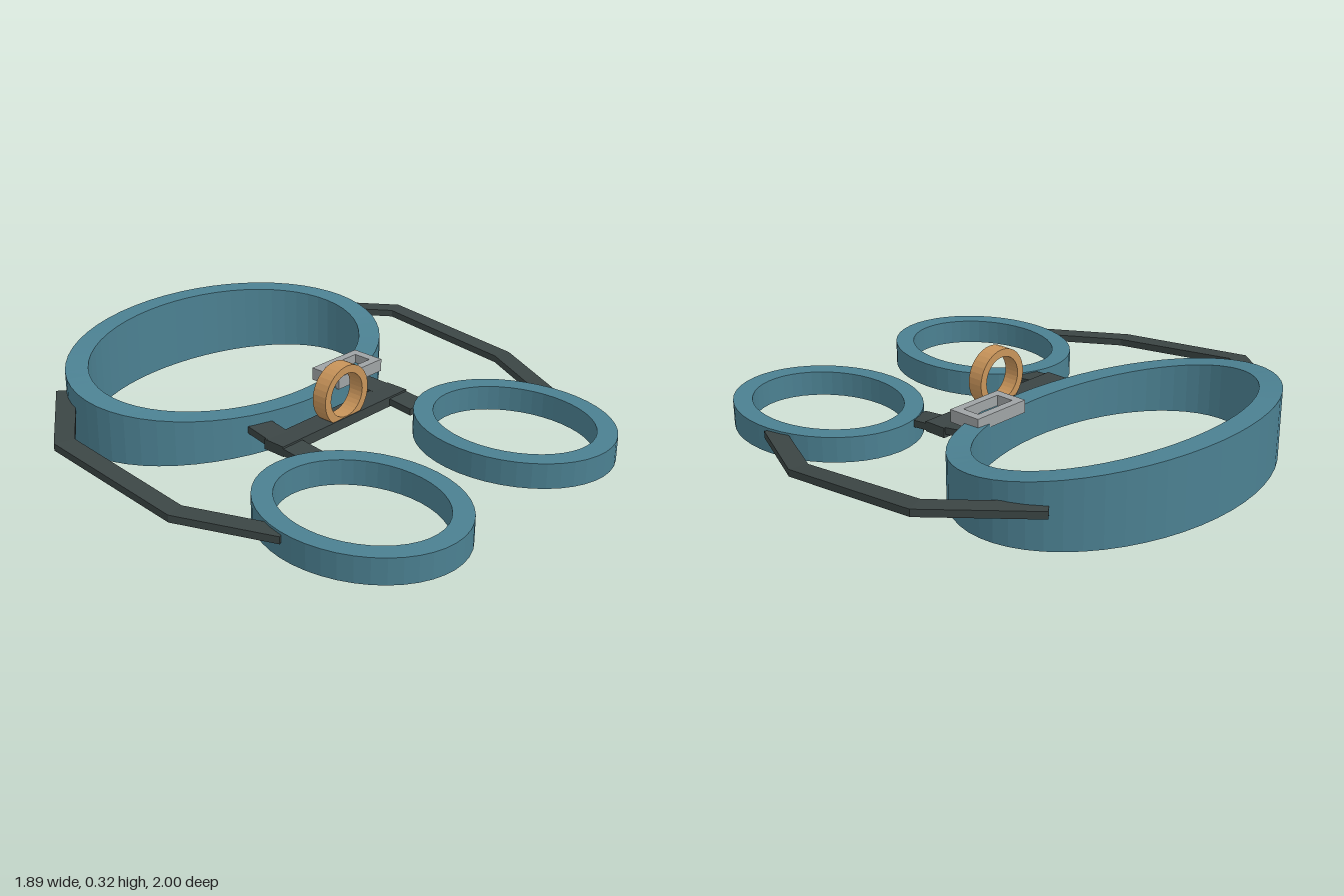
import * as THREE from 'three';

const material = (name, color) => Object.assign(
  new THREE.MeshStandardMaterial({ color, flatShading: true }), { name });

// Skin four-cornered sections (inner bottom, outer bottom, outer top, inner top) into a solid
function loft(sections, closed) {
  const pos = [];
  const n = sections.length;
  const tri = (...corners) => corners.forEach((c) => pos.push(...c));
  for (let i = 0; i < (closed ? n : n - 1); i++) {
    const a = sections[i], b = sections[(i + 1) % n];
    for (let k = 0; k < 4; k++) {
      const j = (k + 1) % 4;
      tri(a[k], b[k], b[j]);
      tri(a[k], b[j], a[j]);
    }
  }
  if (!closed) {
    const s = sections[0], e = sections[n - 1];
    tri(s[0], s[1], s[2]); tri(s[0], s[2], s[3]);
    tri(e[0], e[2], e[1]); tri(e[0], e[3], e[2]);
  }
  const geo = new THREE.BufferGeometry();
  geo.setAttribute('position', new THREE.Float32BufferAttribute(pos, 3));
  geo.computeVertexNormals();
  return geo;
}

// Upright oval band; top(c) gives the rim height, c = 1 at the front and -1 at the back
function band(rx, rz, innerX, innerZ, top, segments) {
  const sections = [];
  for (let i = 0; i < segments; i++) {
    const a = (i / segments) * Math.PI * 2;
    const s = Math.sin(a), c = Math.cos(a), h = top(c);
    sections.push([
      [innerX * s, 0, innerZ * c], [rx * s, 0, rz * c],
      [rx * s, h, rz * c], [innerX * s, h, innerZ * c],
    ]);
  }
  return loft(sections, true);
}

// Flat webbing along a polyline with mitred bends
function strap(path, width, thick) {
  const p = path.map((q) => new THREE.Vector3(...q));
  const side = (a, b) => new THREE.Vector3(-(b.z - a.z), 0, b.x - a.x).normalize();
  const sections = p.map((q, i) => {
    const before = side(p[Math.max(i - 1, 0)], p[Math.max(i, 1)]);
    const after = side(p[Math.min(i, p.length - 2)], p[Math.min(i + 1, p.length - 1)]);
    const m = before.clone().add(after).normalize();
    m.multiplyScalar(width / 2 / m.dot(before));
    return [[-1, -1], [1, -1], [1, 1], [-1, 1]].map(([u, v]) =>
      [q.x + m.x * u, q.y + v * thick / 2, q.z + m.z * u]);
  });
  return loft(sections, false);
}

export function createModel() {
  const group = new THREE.Group();
  const teal = material('teal padding', 0x4b8091);
  const dark = material('dark webbing', 0x3b4544);
  const gold = material('orange ring', 0xc8945a);
  const grey = material('grey metal', 0x9fa3a5);
  const add = (name, geo, mat, x = 0, y = 0, z = 0) => {
    const mesh = new THREE.Mesh(geo, mat);
    mesh.name = name;
    mesh.position.set(x, y, z);
    group.add(mesh);
    return mesh;
  };

  // Waist belt, taller at the back
  add('waistBelt', band(0.725, 0.495, 0.635, 0.41, (c) => 0.22 - 0.065 * c, 56), teal, 0, 0, -0.505);

  for (const [name, s] of [['left', 1], ['right', -1]]) {
    // Leg loops
    add(`${name}LegLoop`, band(0.337, 0.405, 0.265, 0.327, () => 0.1, 44), teal, s * 0.433, 0, 0.59);
    // Outer straps from belt to leg loop
    add(`${name}SideStrap`, strap([
      [s * 0.645, 0.15, -0.735], [s * 0.908, 0.142, -0.4],
      [s * 0.908, 0.088, 0.187], [s * 0.745, 0.075, 0.53],
    ], 0.074, 0.028), dark);
    // Short front straps
    add(`${name}FrontStrap`, strap([
      [s * 0.277, 0.106, -0.06], [s * 0.295, 0.092, 0.1], [s * 0.295, 0.078, 0.24],
    ], 0.1, 0.028), dark);
  }

  // Bridge bar between the leg loops
  add('bridgeBar', new THREE.BoxGeometry(0.69, 0.04, 0.096), dark, 0, 0.09, 0.088);

  // Tie-in ring standing on the bar
  const ring = band(0.118, 0.118, 0.087, 0.087, () => 0.064, 32);
  add('tieInRing', ring, gold, 0, 0.2, 0.068).rotation.x = Math.PI / 2;

  // Buckle frame lying on the belt
  const frame = new THREE.Shape([[-0.125, -0.07], [0.125, -0.07], [0.125, 0.07], [-0.125, 0.07]]
    .map((q) => new THREE.Vector2(...q)));
  frame.holes.push(new THREE.Path([[-0.09, -0.037], [-0.09, 0.037], [0.09, 0.037], [0.09, -0.037]]
    .map((q) => new THREE.Vector2(...q))));
  const buckle = new THREE.ExtrudeGeometry(frame, { depth: 0.05, bevelEnabled: false });
  add('buckle', buckle, grey, 0.225, 0.148, -0.07).rotation.x = -Math.PI / 2;

  return group;
}
